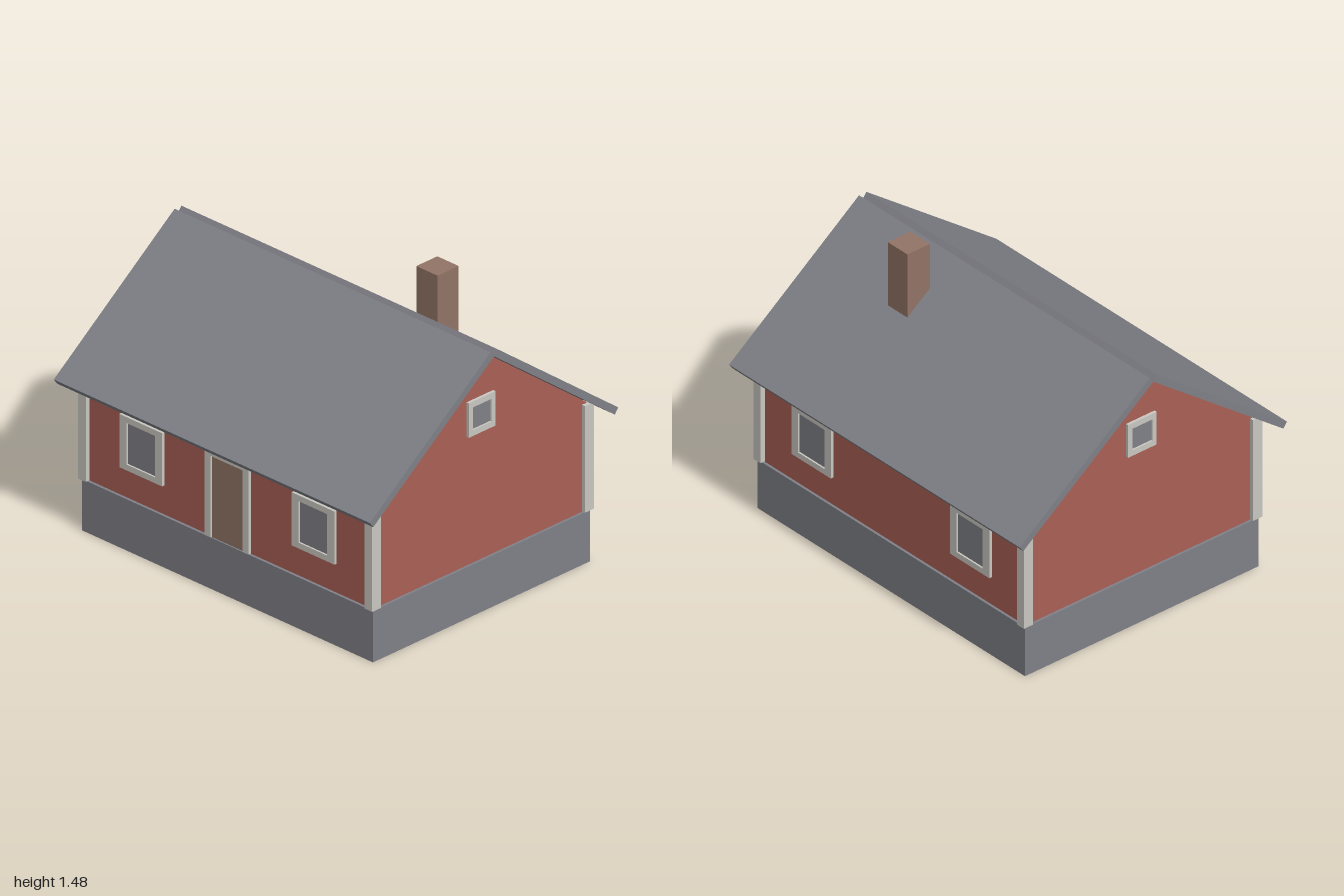
import * as THREE from 'three';

const mat = (name, color) => new THREE.MeshStandardMaterial({ name, color });

export function createModel() {
  const red = mat('red boards', 0xa96055);
  const trim = mat('off-white trim', 0xcac8c1);
  const brown = mat('brown', 0x927466);
  const grey = mat('slate grey', 0x808188);
  grey.side = THREE.DoubleSide; // the foundation is an open shell

  const house = new THREE.Group();
  house.name = 'house';

  const add = (parent, name, geometry, material) => {
    const mesh = new THREE.Mesh(geometry, material);
    mesh.name = name;
    parent.add(mesh);
    return mesh;
  };
  // Box given by its limits on each axis
  const box = (parent, name, material, [x0, x1], [y0, y1], [z0, z1]) => {
    const g = new THREE.BoxGeometry(x1 - x0, y1 - y0, z1 - z0);
    g.translate((x0 + x1) / 2, (y0 + y1) / 2, (z0 + z1) / 2);
    return add(parent, name, g, material);
  };
  const polygon = (pts) => pts.map(([x, y]) => new THREE.Vector2(x, y));

  // Foundation: box shell open at the bottom
  const base = new THREE.BoxGeometry(1.84, 0.26, 1.39);
  base.setIndex([...base.index.array].filter((v, i) => i < 18 || i >= 24));
  base.clearGroups();
  base.translate(0, 0.13, 0);
  add(house, 'foundation', base, grey);

  // Walls: gable profile extruded along x
  const W = 0.91, D = 0.685, apex = 1.322;
  const gable = new THREE.Shape(polygon([
    [-D, 0.263], [D, 0.263], [D, apex - 0.75 * D], [0, apex], [-D, apex - 0.75 * D],
  ]));
  const walls = new THREE.ExtrudeGeometry(gable, { depth: 2 * W, bevelEnabled: false });
  walls.translate(0, 0, -W).rotateY(Math.PI / 2);
  add(house, 'walls', walls, red);

  // Corner boards
  for (const sx of [-1, 1]) for (const sz of [-1, 1]) {
    const post = new THREE.BoxGeometry(0.048, 0.54, 0.055);
    post.translate(sx * 0.906, 0.535, sz * 0.6825);
    add(house, 'cornerBoard', post, trim);
  }

  // Roof: two slabs at right angles to their slopes, leaving a notch at the ridge
  const length = 0.968, thick = 0.036;
  for (const s of [1, -1]) {
    const slab = new THREE.BoxGeometry(2, thick, length);
    slab.translate(0, thick / 2, s * length / 2);
    slab.rotateX(s * Math.atan(0.75));
    slab.translate(0, 1.325, 0);
    add(house, s > 0 ? 'frontRoof' : 'backRoof', slab, grey);
  }

  box(house, 'chimney', brown, [0.34, 0.475], [0.95, 1.48], [-0.305, -0.17]);

  // Window centred on its own origin, facing +z
  const makeWindow = (w, h, paneW, paneH) => {
    const group = new THREE.Group();
    group.name = 'window';
    const rect = (a, b) => polygon([[-a, -b], [a, -b], [a, b], [-a, b]]);
    const outline = new THREE.Shape(rect(w / 2, h / 2));
    outline.holes.push(new THREE.Path(rect(paneW / 2, paneH / 2)));
    add(group, 'windowFrame', new THREE.ExtrudeGeometry(outline, { depth: 0.015, bevelEnabled: false }), trim);
    box(group, 'windowPane', grey, [-paneW / 2, paneW / 2], [-paneH / 2, paneH / 2], [0, 0.006]);
    house.add(group);
    return group;
  };

  for (const s of [1, -1]) {
    const turn = s > 0 ? 0 : Math.PI;
    // Front and back windows
    for (const x of [-0.545, 0.545]) {
      const win = makeWindow(0.27, 0.27, 0.18, 0.21);
      win.position.set(x, 0.545, s * D);
      win.rotation.y = turn;
    }
    // Attic window in each gable
    const attic = makeWindow(0.17, 0.175, 0.12, 0.115);
    attic.position.set(s * W, 1.003, 0);
    attic.rotation.y = s * Math.PI / 2;
  }

  // Door with a three-sided frame
  const door = new THREE.Group();
  door.name = 'door';
  const frame = new THREE.Shape(polygon([
    [-0.14, 0.263], [-0.103, 0.263], [-0.103, 0.677], [0.1, 0.677],
    [0.1, 0.263], [0.137, 0.263], [0.137, 0.7], [-0.14, 0.7],
  ]));
  const frameGeo = new THREE.ExtrudeGeometry(frame, { depth: 0.015, bevelEnabled: false });
  frameGeo.translate(0, 0, D);
  add(door, 'doorFrame', frameGeo, trim);
  box(door, 'doorLeaf', brown, [-0.103, 0.1], [0.263, 0.677], [D, D + 0.007]);
  house.add(door);

  return house;
}
